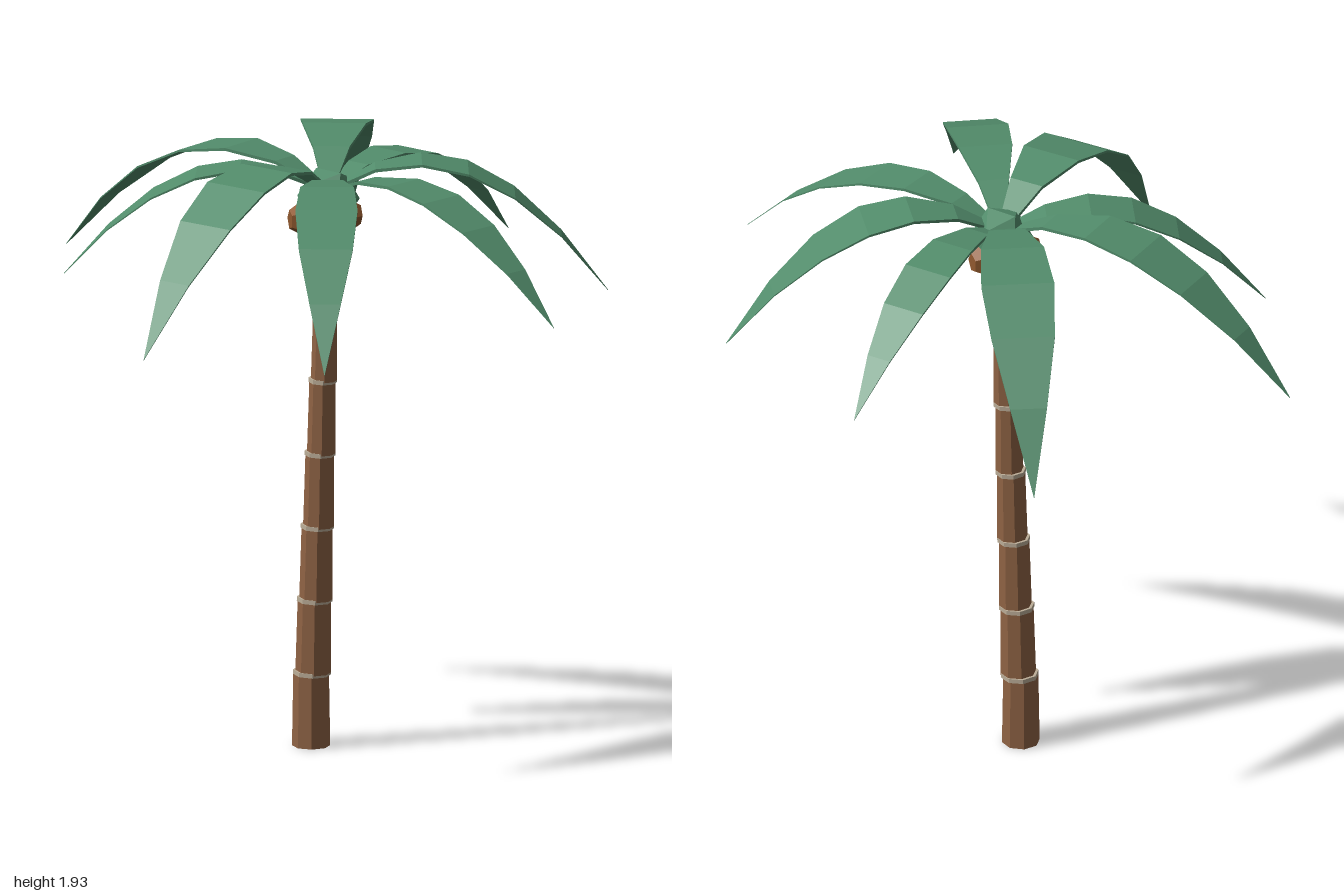
import * as THREE from 'three';

const mat = (color) => new THREE.MeshStandardMaterial({ color, flatShading: true, side: THREE.DoubleSide });
const bark = mat(0x8f6344);
const ringMat = mat(0xbcae98);
const leafMat = mat(0x528c6b);
const nutMat = mat(0x90592f);

const CROWN = new THREE.Vector3(0.03, 1.8, -0.035);

function add(parent, name, geometry, material, x, y, z) {
  const mesh = new THREE.Mesh(geometry, material);
  mesh.name = name;
  mesh.position.set(x, y, z);
  parent.add(mesh);
  return mesh;
}

// Thin box bent along an arch, widest in the middle and pointed at the tip
function frondGeometry(length, width, rise, fall) {
  const geo = new THREE.BoxGeometry(1, 1, 1, 6, 1, 1);
  const p = geo.attributes.position;
  for (let i = 0; i < p.count; i++) {
    const t = p.getX(i) + 0.5;
    const w = t > 0.99 ? 0.003 : Math.max(0.13, Math.sin(Math.PI * t));
    const thick = 0.012 * (1 - 0.8 * t);
    p.setXYZ(i, t * length, rise * t - fall * t * t + p.getY(i) * thick, p.getZ(i) * width * w);
  }
  geo.computeVertexNormals();
  return geo;
}

export function createModel() {
  const group = new THREE.Group();

  // Leaning trunk of stacked, tapering segments with a pale ring at each joint
  const trunk = new THREE.Group();
  trunk.name = 'trunk';
  group.add(trunk);
  const count = 7, h = 0.2375;
  for (let i = 0; i < count; i++) {
    const x = -0.04 + 0.0115 * i;
    const r = 0.06 - 0.0038 * i;
    const seg = add(trunk, 'trunkSegment', new THREE.CylinderGeometry(r - 0.004, r, h, 8), bark, x, h * (i + 0.5), -0.03);
    if (i > 0) seg.rotation.z = -0.02;
    const ring = add(trunk, 'trunkRing', new THREE.CylinderGeometry(r, r, 0.014, 8), ringMat, x + 0.004, h * (i + 1), -0.03);
    ring.rotation.z = -0.03;
  }

  // Faceted heart of the crown
  add(group, 'crownHeart', new THREE.IcosahedronGeometry(0.1, 0), leafMat, CROWN.x, 1.78, CROWN.z);

  // Fronds: tip x and z, cycling through three arch shapes [width, rise, fall]
  const arches = [[0.165, 0.48, 0.76], [0.195, 0.605, 0.93], [0.23, 0.755, 1.125]];
  const tips = [[1, -0.035], [0.785, 0.785], [0.105, 0.89], [-0.61, 0.495],
    [-1, 0.07], [-0.67, -0.86], [-0.01, -0.9], [0.655, -0.65]];
  tips.forEach(([x, z], i) => {
    const dx = x - CROWN.x, dz = z - CROWN.z;
    const frond = add(group, 'frond', frondGeometry(Math.hypot(dx, dz), ...arches[i % 3]), leafMat, CROWN.x, CROWN.y, CROWN.z);
    frond.rotation.y = Math.atan2(-dz, dx);
  });

  // Nuts hanging under the crown
  for (const [x, z] of [[-0.01, 0.04], [-0.045, -0.05], [0.05, -0.1]]) {
    add(group, 'nut', new THREE.DodecahedronGeometry(0.052, 0), nutMat, x, 1.715, z);
  }
  return group;
}
